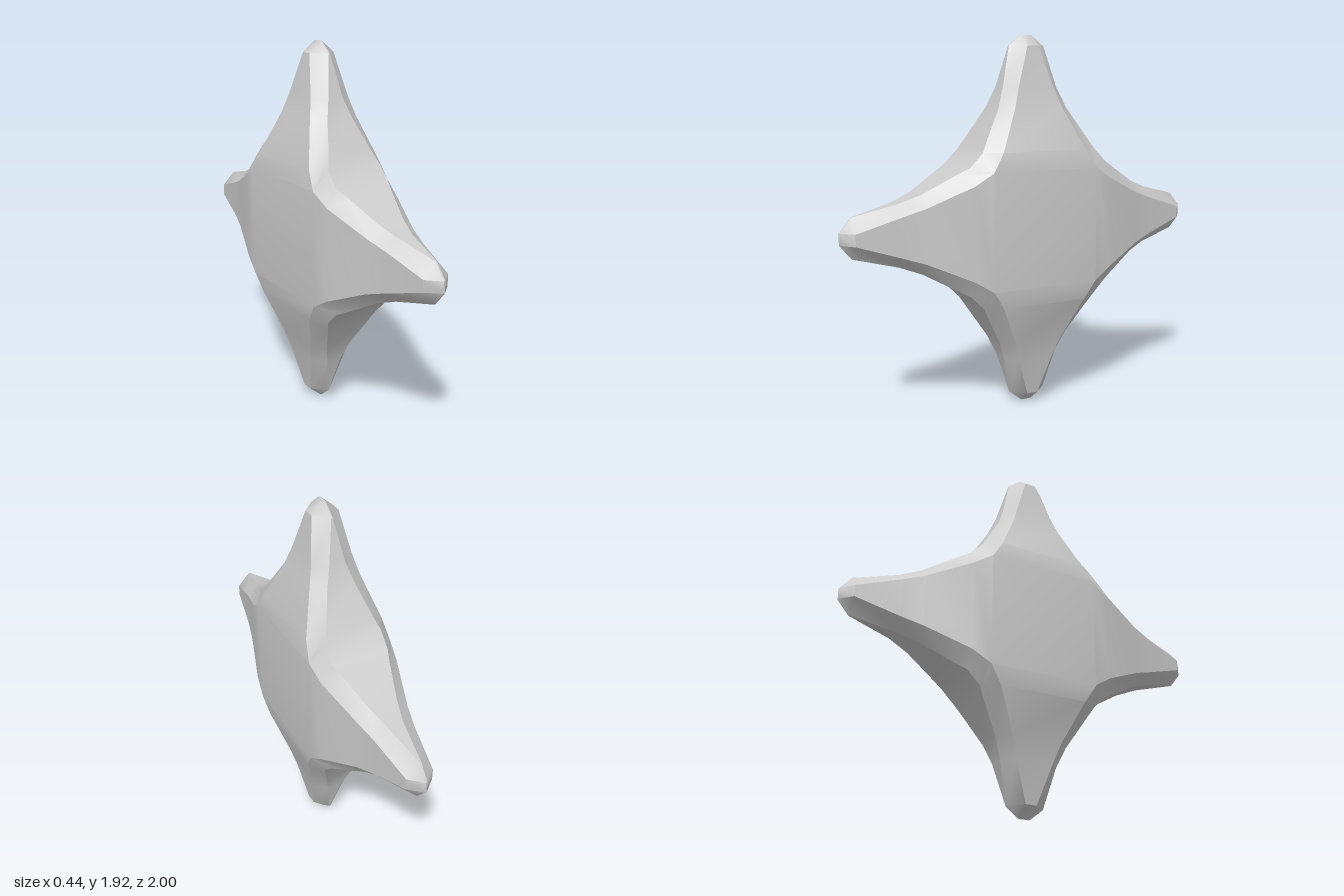
import * as THREE from 'three';
import { toCreasedNormals } from 'three/addons/utils/BufferGeometryUtils.js';

const CENTRE_Y = 0.962;

// Arm sections from valley to tip, as [distance along arm, half width, half thickness]
const FACE = [[0.295, 0.295, 0.22], [0.39, 0.235, 0.205], [0.6, 0.135, 0.135], [0.7, 0.1, 0.108], [0.907, 0.03, 0.07], [0.962, 0.028, 0.004]];
const RIM = [[0.39, 0.32, 0.15], [0.45, 0.285, 0.125], [0.6, 0.195, 0.073], [0.7, 0.155, 0.042], [0.907, 0.1, 0.004], [0.962, 0.03, 0.003]];

export function createModel() {
  const positions = [];
  const axis = new THREE.Vector3(1, 0, 0);
  const tri = (a, b, c) => { for (const p of [a, b, c]) positions.push(p.x, p.y, p.z); };
  const quad = (a, b, c, d) => { tri(a, b, c); tri(a, c, d); };

  // Point on arm k; the front and back arms are slightly longer
  const point = (k, [u, v, x], sideX, sideV) => {
    const length = k % 2 ? 1 : 0.962;
    const along = u > 0.39 ? 0.39 + (u - 0.39) * (length - 0.39) / 0.572 : u;
    return new THREE.Vector3(x * sideX, along, v * sideV).applyAxisAngle(axis, k * Math.PI / 2);
  };

  // Eight-sided cross-section of an arm
  const ring = (k, i) => [
    point(k, RIM[i], 1, 1), point(k, FACE[i], 1, 1),
    point(k, FACE[i], 1, -1), point(k, RIM[i], 1, -1),
    point(k, RIM[i], -1, -1), point(k, FACE[i], -1, -1),
    point(k, FACE[i], -1, 1), point(k, RIM[i], -1, 1),
  ];

  for (let k = 0; k < 4; k++) {
    // Tapering arm
    for (let i = 0; i < FACE.length - 1; i++) {
      const a = ring(k, i), b = ring(k, i + 1);
      for (let j = 0; j < 8; j++) {
        const n = (j + 1) % 8;
        quad(a[j], a[n], b[n], b[j]);
      }
    }
    // Blunt tip
    const tip = ring(k, FACE.length - 1);
    for (let j = 1; j < 7; j++) tri(tip[0], tip[j], tip[j + 1]);

    // Chamfered valley towards the next arm
    const a = ring(k, 0), b = ring((k + 1) % 4, 0);
    quad(a[0], a[7], b[4], b[3]);
    tri(a[1], a[0], b[3]);
    tri(a[6], b[4], a[7]);

    // Quarter of the flat centre on both sides
    tri(new THREE.Vector3(0.22, 0, 0), a[2], a[1]);
    tri(new THREE.Vector3(-0.22, 0, 0), a[6], a[5]);
  }

  const geometry = new THREE.BufferGeometry();
  geometry.setAttribute('position', new THREE.Float32BufferAttribute(positions, 3));
  const star = new THREE.Mesh(
    toCreasedNormals(geometry, 0.55),
    new THREE.MeshStandardMaterial({ color: 0xcccccc }),
  );
  star.name = 'fourPointedStar';
  star.position.y = CENTRE_Y;

  const group = new THREE.Group();
  group.name = 'bevelledStar';
  group.add(star);
  return group;
}
